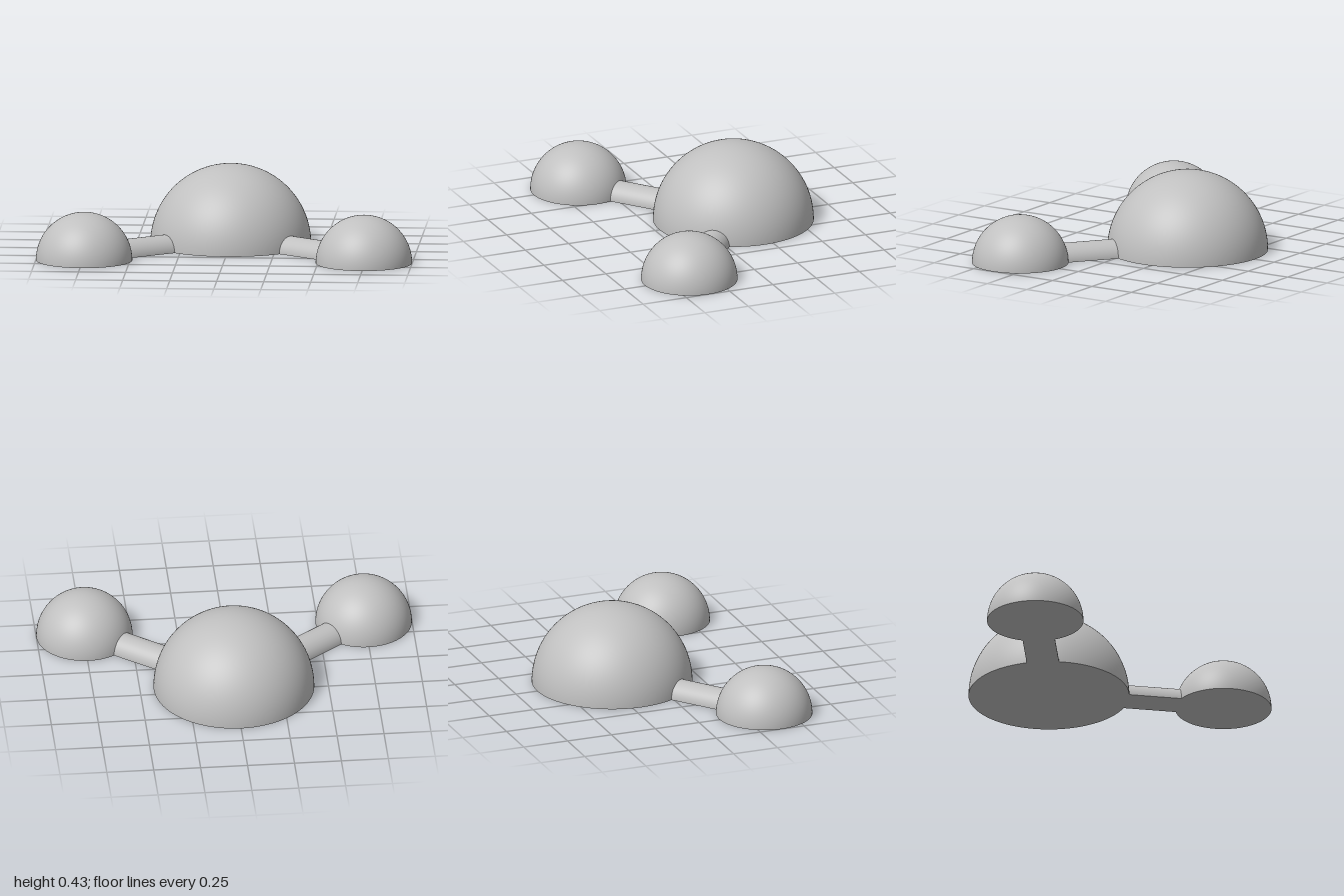
import * as THREE from 'three';

export function createModel() {
  const model = new THREE.Group();
  model.name = 'halfMolecule';
  const grey = new THREE.MeshStandardMaterial({ color: 0xc0c0c0 });
  grey.name = 'grey';

  const add = (parent, geometry, name) => {
    const mesh = new THREE.Mesh(geometry, grey);
    mesh.name = name;
    parent.add(mesh);
    return mesh;
  };

  // Half ball with a flat underside
  const addAtom = (name, radius, x, z) => {
    const atom = new THREE.Group();
    atom.name = name;
    atom.position.set(x, 0, z);
    add(atom, new THREE.SphereGeometry(radius, 96, 32, 0, Math.PI * 2, 0, Math.PI / 2), name + 'Dome');
    add(atom, new THREE.CircleGeometry(radius, 96).rotateX(Math.PI / 2), name + 'Base');
    model.add(atom);
  };

  const bigR = 0.427, smallR = 0.256, bondR = 0.086;
  const bigZ = -0.202, smallX = 0.744, smallZ = 0.373;

  addAtom('centreAtom', bigR, 0, bigZ);

  for (const side of [1, -1]) {
    const label = side > 0 ? 'left' : 'right';
    addAtom(label + 'Atom', smallR, side * smallX, smallZ);

    // Half-round bond, its ends tucked just inside both domes
    const dx = side * smallX, dz = smallZ - bigZ;
    const start = bigR - 0.02, end = Math.hypot(dx, dz) - smallR + 0.03;
    const length = end - start, middle = (start + end) / 2;
    const bond = new THREE.Group();
    bond.name = label + 'Bond';
    bond.position.z = bigZ;
    bond.rotation.y = Math.atan2(dx, dz);
    const round = new THREE.CylinderGeometry(bondR, bondR, length, 32, 1, true, -Math.PI / 2, Math.PI);
    add(bond, round.rotateX(-Math.PI / 2), label + 'BondTop').position.z = middle;
    const flat = new THREE.PlaneGeometry(bondR * 2, length).rotateX(Math.PI / 2);
    add(bond, flat, label + 'BondBase').position.z = middle;
    model.add(bond);
  }
  return model;
}
